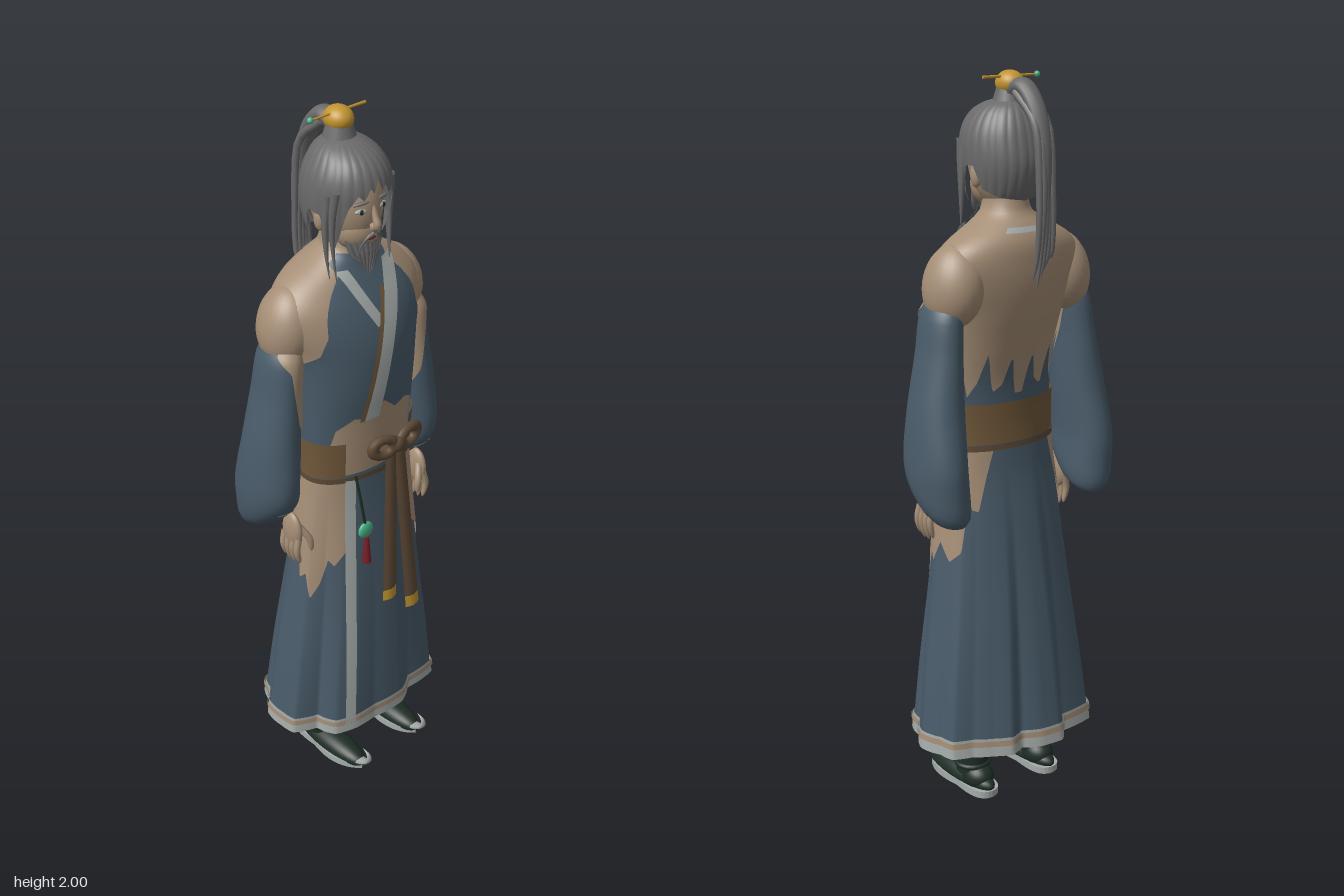
import * as THREE from 'three';
import { mergeVertices } from 'three/addons/utils/BufferGeometryUtils.js';
import { ParametricGeometry } from 'three/addons/geometries/ParametricGeometry.js';

const mat = (name, color) => new THREE.MeshStandardMaterial({ name, color, side: THREE.DoubleSide });
const V = (p) => new THREE.Vector3(...p);
const TAU = Math.PI * 2;

// smooth surface from a rule (u, v) -> [x, y, z]
function grid(nu, nv, fn) {
  const g = new ParametricGeometry((u, v, t) => t.set(...fn(u, v)), nu, nv);
  g.deleteAttribute('uv');
  g.deleteAttribute('normal');
  const m = mergeVertices(g, 1e-5);
  m.computeVertexNormals();
  return m;
}

// rows [key, a, b, ...]: interpolated values at a key
function sample(rows, k, smooth = true) {
  const n = rows.length;
  if (k <= rows[0][0]) return rows[0].slice(1);
  if (k >= rows[n - 1][0]) return rows[n - 1].slice(1);
  let i = 0;
  while (rows[i + 1][0] < k) i++;
  const h = rows[i + 1][0] - rows[i][0], t = (k - rows[i][0]) / h;
  const slope = (j, c) => {
    const a = rows[Math.max(j - 1, 0)], b = rows[Math.min(j + 1, n - 1)];
    return (b[c] - a[c]) / (b[0] - a[0]);
  };
  return rows[i].slice(1).map((p, c) => {
    const q = rows[i + 1][c + 1];
    if (!smooth) return p + (q - p) * t;
    return p * (1 + 2 * t) * (1 - t) ** 2 + h * slope(i, c + 1) * t * (1 - t) ** 2
      + q * t * t * (3 - 2 * t) + h * slope(i + 1, c + 1) * t * t * (t - 1);
  });
}

// body surface from rows [y, halfWidth, frontZ, backZ]; angle 0 faces the front
const spow = (v, p) => Math.sign(v) * Math.abs(v) ** p;
function body(rows, p = 1, ripple = () => 0) {
  const at = (th, y, off = 0) => {
    const [a, f, b] = sample(rows, y), r = 1 + ripple(th, y);
    return [(a * r + off) * spow(Math.sin(th), p), y, (f + b) / 2 + ((f - b) / 2 * r + off) * spow(Math.cos(th), p)];
  };
  const num = (f, th) => typeof f === 'number' ? f : sample(f, Math.abs(th), false)[0];
  return {
    // piece between two angles and two heights (numbers or rows [angle, y])
    patch: (t0, t1, lo, hi, off = 0, nu = 120, nv = 24) => grid(nu, nv, (u, v) => {
      const th = t0 + (t1 - t0) * u, l = num(lo, th);
      return at(th, l + Math.max(num(hi, th) - l, 0) * v, off);
    }),
    // band laid on the front along points [x, y]
    strip: (pts, w, off) => {
      const c = new THREE.CatmullRomCurve3(pts.map(([x, y]) => V([x, y, 0])));
      return grid(4, 30, (u, v) => {
        const q = c.getPoint(v), s = (q.x + (u - 0.5) * w) / sample(rows, q.y)[0];
        return at(Math.asin(THREE.MathUtils.clamp(spow(s, 1 / p), -1, 1)), q.y, off);
      });
    },
  };
}

// strand along points with a varying radius
function strand(pts, radius, flat = 1, nu = 8, nv = 14) {
  const c = new THREE.CatmullRomCurve3(pts.map(V));
  return grid(nu, nv, (u, v) => {
    const q = c.getPoint(v), t = c.getTangent(v);
    const a = new THREE.Vector3(1, 0, 0).addScaledVector(t, -t.x).normalize(), b = t.clone().cross(a);
    const r = radius(v);
    return q.addScaledVector(a, r * Math.cos(u * TAU)).addScaledVector(b, r * flat * Math.sin(u * TAU)).toArray();
  });
}

export function createModel() {
  const g = new THREE.Group();
  const skin = mat('skin', 0xa58e76), blue = mat('robe blue', 0x495b69), brown = mat('sash brown', 0x71583a);
  const hair = mat('hair grey', 0x6a6a6a), trim = mat('pale trim', 0xa4aba9), gold = mat('gold', 0xc2942f);
  const jade = mat('jade', 0x4bb288), dark = mat('dark green', 0x1f2d26), red = mat('tassel red', 0x7c1d26);
  const deep = mat('bow brown', 0x5e4a37);
  const add = (name, geo, m, pos = [0, 0, 0], scale = [1, 1, 1], rot = [0, 0, 0]) => {
    const o = new THREE.Mesh(geo, m);
    o.name = name;
    o.position.set(...pos); o.scale.set(...scale); o.rotation.set(...rot);
    g.add(o);
  };
  const ball = new THREE.SphereGeometry(1, 28, 20);

  // torso and neck, with the robe front laid over it
  const torso = body([[1.0, .163, .105, -.085], [1.1, .163, .11, -.08], [1.2, .168, .115, -.085], [1.3, .175, .124, -.11],
    [1.4, .19, .122, -.138], [1.47, .215, .108, -.15], [1.53, .222, .085, -.152], [1.58, .18, .06, -.147],
    [1.62, .11, .042, -.125], [1.65, .064, .035, -.1], [1.74, .052, .03, -.09]], .95);
  add('torso', torso.patch(0, TAU, 1.0, 1.74, 0, 120, 48), skin);
  add('robeTop', torso.patch(-Math.PI, Math.PI,
    [[0, 1.25], [.25, 1.21], [.5, 1.22], [.85, 1.19], [1.2, 1.05], [3.15, 1.05]],
    [[0, 1.62], [.55, 1.62], [.62, 1.54], [.72, 1.47], [.95, 1.42], [1.35, 1.39], [1.8, 1.37], [2.05, 1.28], [2.2, 1.17],
      [2.4, 1.21], [2.55, 1.29], [2.68, 1.18], [2.85, 1.2], [2.97, 1.28], [3.08, 1.17], [3.15, 1.17]], .005, 200, 30), blue);
  add('neckBand', torso.patch(-1.0, 1.0, [[0, 1.6], [.5, 1.605], [1.0, 1.63]], 1.65, .007, 30, 6), blue);
  add('collarLong', torso.strip([[.075, 1.615], [.05, 1.54], [.005, 1.42], [-.02, 1.32], [-.04, 1.21]], .046, .011), trim);
  add('collarPiping', torso.strip([[.025, 1.56], [-.02, 1.42], [-.048, 1.3], [-.065, 1.21]], .013, .012), brown);
  add('collarShort', torso.strip([[-.065, 1.615], [-.035, 1.54], [.0, 1.47]], .03, .009), trim);
  add('napeTrim', torso.patch(2.6, 3.68, 1.605, 1.618, .005, 20, 3), trim);

  // sash round the waist
  add('sash', torso.patch(.66, TAU - .66, 1.04, 1.15, .012, 80, 6), brown);
  add('sashCord', torso.patch(0, TAU, 1.022, 1.038, .012, 80, 3), deep);

  // skirt with sharp pleats opening toward the hem, hem bands and bare hip panels
  const folds = [[-Math.PI, .07], [-2.94, .13], [-2.76, -.06], [-2.38, .1], [-2.1, -.02], [-1.85, .02], [-1.5, 0], [-1.25, .02],
    [-.97, -.12], [-.65, .04], [-.39, .03], [-.15, -.03], [0, 0], [.2, .02], [.445, -.1], [.78, .1], [1.11, -.05], [1.5, 0],
    [1.85, -.04], [2.1, .03], [2.33, -.05], [2.6, -.02], [2.83, .05], [2.95, -.08], [Math.PI, .07]];
  const skirt = body([[.17, .27, .155, -.187], [.4, .245, .15, -.168], [.6, .218, .14, -.147], [.8, .194, .126, -.12],
    [.95, .176, .113, -.095], [1.04, .167, .109, -.086]], .94,
  (th, y) => Math.min(Math.max((1 - y) / .8, 0), 1) * sample(folds, Math.atan2(Math.sin(th), Math.cos(th)), false)[0]);
  add('skirt', skirt.patch(0, TAU, .18, 1.04, 0, 200, 30), blue);
  add('hem', skirt.patch(0, TAU, .17, .222, .004, 200, 3), trim);
  add('hemLining', skirt.patch(0, TAU, .17, .215, -.004, 200, 3), trim);
  add('hemPiping', skirt.patch(0, TAU, .2, .216, .008, 200, 2), skin);
  add('skirtEdge', skirt.strip([[-.09, 1.03], [-.105, .75], [-.118, .45], [-.128, .2]], .028, .008), trim);
  const hipFront = [[.42, 1.03], [.5, .93], [.58, .81], [.8, .76], [.92, .78], [1.05, .7], [1.2, .65], [1.32, .73], [1.45, .71]];
  const hipRight = [...hipFront, [1.55, .84], [1.9, .81], [2.05, .9], [2.25, .86], [2.45, 1.03]];
  const hipLeft = [...hipFront, [1.62, .77], [1.85, .72], [2.1, .75], [2.2, .87], [2.4, .86], [2.55, .95], [2.7, 1.03]];
  add('hipPanelRight', skirt.patch(-2.45, -.42, hipRight, 1.03, .005, 100, 16), skin);
  add('hipPanelLeft', skirt.patch(.42, 2.7, hipLeft, 1.03, .005, 100, 16), skin);

  // shoulders, sleeves, hands, legs and shoes
  const sleeveRows = [[.855, .235, .004, -.1, .004], [.87, .237, .045, -.095, .05], [.9, .242, .064, -.08, .08],
    [.95, .247, .071, -.062, .1], [1.02, .25, .07, -.055, .106], [1.15, .24, .067, -.045, .09],
    [1.3, .224, .053, -.04, .077], [1.4, .213, .047, -.036, .07], [1.435, .205, .036, -.036, .055]];
  const armEdge = [[-1, 1.42], [-.3, 1.38], [0, 1.3], [.3, 1.22], [.7, 1.18], [1.2, 1.2], [1.8, 1.32], [2.2, 1.43]];
  const sole = new THREE.Shape();
  sole.moveTo(0, -.115);
  sole.bezierCurveTo(.05, -.115, .045, -.05, .042, 0);
  sole.bezierCurveTo(.06, .09, .035, .14, 0, .17);
  sole.bezierCurveTo(-.035, .14, -.06, .09, -.042, 0);
  sole.bezierCurveTo(-.045, -.05, -.05, -.115, 0, -.115);
  const soleGeo = new THREE.ExtrudeGeometry(sole, { depth: .02, bevelEnabled: false, curveSegments: 10 });
  for (const s of [-1, 1]) {
    const sleeveAt = (th, y, off) => {
      const [cx, rx, cz, rz] = sample(sleeveRows, y);
      const z = cz + (rz + off) * Math.cos(th);
      const lift = Math.max(0, 1.1 - y) / .25 * .3 * (z + .09);
      return [s * cx + (rx + off) * Math.sin(th), y + lift, z];
    };
    add('shoulder', ball, skin, [s * .178, 1.472, -.045], [.075, .11, .086], [0, s * .25, s * .2]);
    add('sleeve', grid(40, 36, (u, v) => sleeveAt(u * TAU, .855 + .58 * v, 0)), blue);
    add('bareInnerArm', grid(40, 12, (u, v) => {
      const t = -1 + 3.2 * u, low = sample(armEdge, t, false)[0];
      return sleeveAt(-s * t, low + (1.435 - low) * v, .004);
    }), skin);
    add('cuffTrim', grid(10, 2, (u, v) => sleeveAt((u - .5) * .9, .925 + .007 * v, .003)), trim);
    add('palm', ball, skin, [s * .228, .885, .018], [.017, .055, .036]);
    for (let i = 0; i < 4; i++) {
      const z = -.012 + i * .019;
      add('finger', strand([[s * .23, .87, z], [s * .238, .83, z + .002], [s * .228, .775 + .008 * Math.abs(i - 1.5), z + .002]],
        (v) => .0095 * Math.sqrt(1.02 - v ** 4)), skin);
    }
    add('thumb', strand([[s * .22, .9, .035], [s * .2, .86, .055], [s * .196, .82, .058]],
      (v) => .01 * Math.sqrt(1.02 - v ** 4)), skin);
    add('boot', new THREE.CylinderGeometry(.056, .046, .5, 20), dark, [s * .11, .31, -.022]);
    add('bootCuff', new THREE.TorusGeometry(.045, .008, 8, 20), dark, [s * .11, .085, -.022], [1, 1, 1], [Math.PI / 2, 0, 0]);
    add('sole', soleGeo, trim, [s * .11, .03, 0], [1, 1, 1], [Math.PI / 2 - .02, 0, 0]);
    add('shoeBody', ball, dark, [s * .11, .036, .03], [.044, .036, .145]);
    add('shoeHeel', ball, dark, [s * .11, .05, -.045], [.043, .04, .052]);
    add('toeCurl', strand([[s * .11, .035, .14], [s * .11, .045, .172], [s * .11, .067, .2], [s * .11, .09, .197], [s * .11, .1, .175]],
      (v) => .021 * (1.03 - v), .5), trim);
  }

  // head and face
  add('head', ball, skin, [0, 1.775, -.022], [.084, .128, .104]);
  add('jaw', ball, skin, [0, 1.71, .018], [.064, .06, .057]);
  add('nose', strand([[0, 1.785, .076], [0, 1.755, .086], [0, 1.735, .092], [0, 1.728, .08]], (v) => .006 + .007 * v), skin);
  add('mouth', ball, red, [0, 1.696, .073], [.014, .004, .004]);
  for (const s of [-1, 1]) {
    add('ear', ball, skin, [s * .086, 1.74, -.02], [.014, .03, .018]);
    add('eyeWhite', ball, trim, [s * .035, 1.775, .072], [.016, .007, .005], [0, s * .35, 0]);
    add('iris', ball, dark, [s * .035, 1.775, .075], [.006, .007, .004]);
    add('eyebrow', ball, hair, [s * .036, 1.797, .073], [.022, .0045, .006], [0, s * .4, -s * .15]);
    add('moustache', strand([[s * .003, 1.712, .083], [s * .02, 1.704, .08], [s * .033, 1.675, .068], [s * .034, 1.64, .062]],
      (v) => .006 * (1.02 - v)), hair);
    add('sideLock', strand([[s * .086, 1.83, .04], [s * .094, 1.76, .035], [s * .094, 1.68, .036], [s * .086, 1.57, .045]],
      (v) => .014 * (1.02 - v)), hair);
    add('sideLock', strand([[s * .094, 1.82, .02], [s * .102, 1.74, .018], [s * .102, 1.66, .022], [s * .098, 1.59, .03]],
      (v) => .014 * (1.02 - v)), hair);
  }
  for (let i = -4; i <= 4; i++) {
    const k = i / 4;
    add('beard', strand([[k * .048, 1.683 + .02 * k * k, .064 - .03 * k * k], [k * .04, 1.65, .07 - .02 * k * k],
      [k * .02, 1.585 + .04 * k * k, .064]], (v) => .011 * (1.02 - v)), hair);
  }

  // hair cap with combed ridges, topknot and ponytail
  const cap = body([[1.66, .085, .06, -.09], [1.7, .097, .078, -.122], [1.77, .108, .092, -.143], [1.84, .105, .095, -.135],
    [1.89, .084, .072, -.116], [1.92, .052, .025, -.09], [1.936, .004, -.04, -.05]], 1,
  (th) => .018 * Math.abs(Math.cos(13 * th)));
  add('hairCap', cap.patch(-Math.PI, Math.PI, [[0, 1.86], [.12, 1.825], [.22, 1.84], [.36, 1.81], [.5, 1.825], [.7, 1.79],
    [.9, 1.71], [1.05, 1.67], [1.2, 1.7], [1.35, 1.765], [1.65, 1.77], [1.9, 1.71], [2.4, 1.69], [3.15, 1.68]], 1.936, 0, 208, 24), hair);
  add('topknot', new THREE.CylinderGeometry(.03, .042, .04, 20), hair, [0, 1.945, -.045]);
  add('crown', ball, gold, [0, 1.968, -.048], [.036, .032, .04]);
  add('hairpin', new THREE.CylinderGeometry(.003, .004, .17, 8), gold, [0, 1.985, -.047], [1, 1, 1], [0, 0, Math.PI / 2]);
  add('hairpinBead', ball, jade, [-.089, 1.985, -.047], [.008, .008, .008]);
  add('ponytail', strand([[0, 1.95, -.06], [0, 1.965, -.1], [0, 1.92, -.15], [0, 1.83, -.183], [0, 1.7, -.192], [0, 1.56, -.185]],
    (v) => .027 * (1.01 - v ** 3), .75, 14, 30), hair);
  for (let i = -2; i <= 2; i++) {
    add('ponytailLock', strand([[i * .008, 1.95, -.09], [i * .01, 1.88, -.17], [i * .01, 1.72, -.193 - .004 * (i % 2)],
      [i * .011, 1.55, -.188], [i * .012, 1.45 + .03 * Math.abs(i - 1), -.172]], (v) => .011 * (1.02 - v ** 3)), hair);
  }

  // bow with two hanging tails
  for (const s of [-1, 1]) {
    add('bowLoop', new THREE.TorusGeometry(.027, .015, 10, 28), deep, [.042 + s * .045, 1.105, .13], [1.25, .9, .8], [0, s * .15, s * .15]);
  }
  add('bowKnot', ball, deep, [.042, 1.1, .135], [.022, .024, .018]);
  const tail = (x0, x1, y1, z1) => {
    const part = (a, b) => grid(4, 20, (u, v) => {
      const t = a + (b - a) * v, w = .04 + .01 * t;
      return [x0 + (x1 - x0) * t + (u - .5) * w, 1.09 + (y1 - 1.09) * t, .132 + (z1 - .132) * t + .008 * Math.sin(u * Math.PI)];
    });
    add('bowTail', part(0, .93), deep);
    add('bowTailEnd', part(.93, 1), gold);
  };
  tail(.022, .0, .61, .16);
  tail(.05, .082, .545, .167);

  // jade pendant with cord and tassel
  add('pendantCord', strand([[-.085, 1.04, .112], [-.08, .96, .128], [-.072, .89, .135]], () => .004), dark);
  add('pendant', ball, jade, [-.07, .87, .135], [.025, .025, .01]);
  add('tassel', new THREE.CylinderGeometry(.006, .013, .085, 10), red, [-.068, .805, .138]);
  return g;
}
